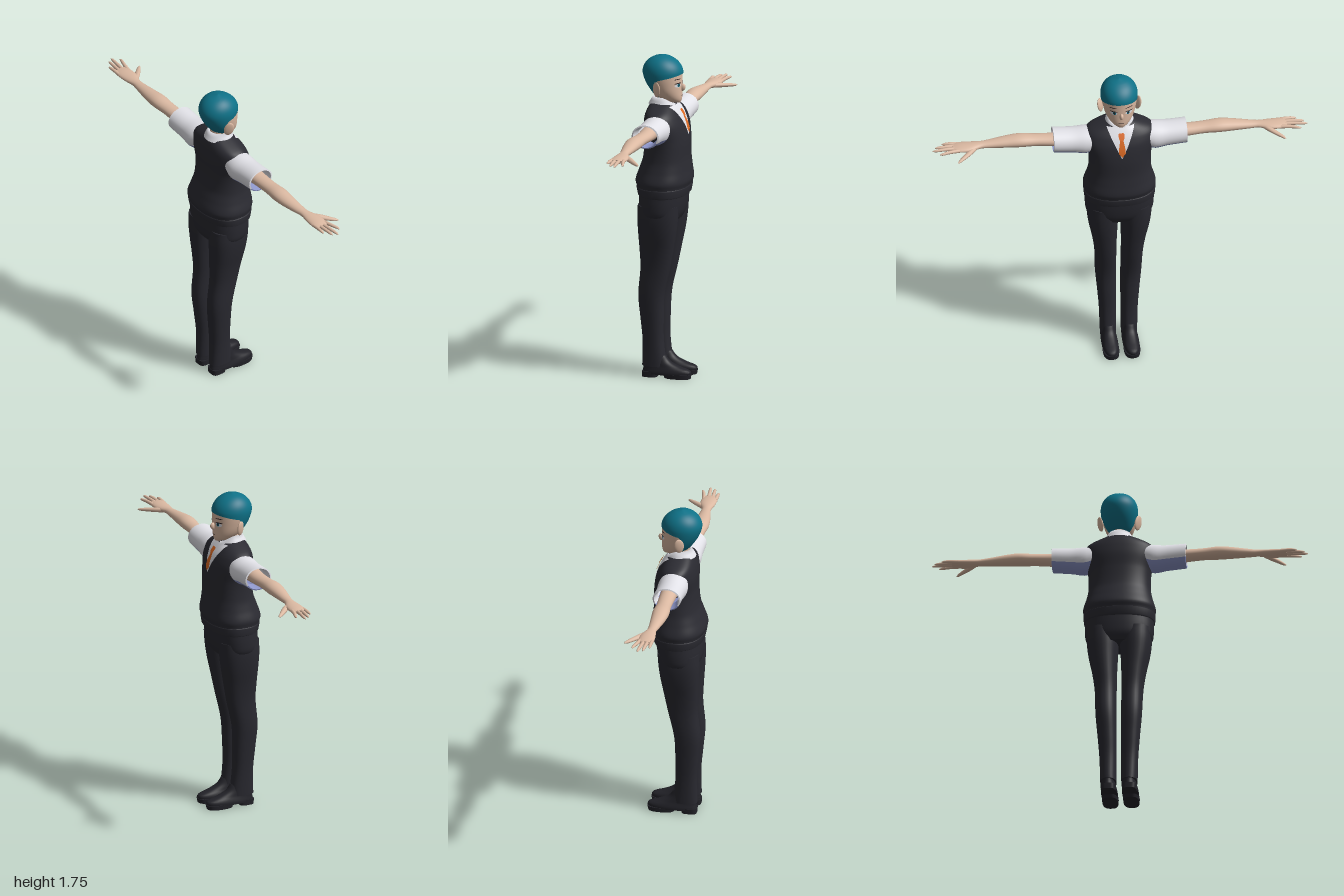
import * as THREE from 'three';

const mat = (name, color, side = THREE.FrontSide) => {
  const m = new THREE.MeshStandardMaterial({ color, side });
  m.name = name;
  return m;
};

// Smooth interpolation of a table of sections; column 0 is the key
function at(rows, k) {
  let i = 0;
  while (i < rows.length - 2 && k > rows[i + 1][0]) i++;
  const a = rows[i], b = rows[i + 1], p = rows[i - 1] || a, q = rows[i + 2] || b;
  const h = b[0] - a[0], t = Math.min(1, Math.max(0, (k - a[0]) / h)), t2 = t * t, t3 = t2 * t;
  return a.map((v, c) => {
    if (c === 0) return k;
    const m0 = (b[c] - p[c]) / (b[0] - p[0]) * h, m1 = (q[c] - v) / (q[0] - a[0]) * h;
    return (2 * t3 - 3 * t2 + 1) * v + (t3 - 2 * t2 + t) * m0 + (3 * t2 - 2 * t3) * b[c] + (t3 - t2) * m1;
  });
}
const keys = (rows, n) => Array.from({ length: n + 1 }, (_, i) =>
  rows[0][0] + (rows[rows.length - 1][0] - rows[0][0]) * i / n);

// Surface through rows of points; a repeated row makes a sharp edge
function grid(rows, closed) {
  const n = rows[0].length, idx = [], cols = closed ? n : n - 1;
  for (let i = 0; i < rows.length - 1; i++) {
    if (rows[i] === rows[i + 1]) continue;
    for (let j = 0; j < cols; j++) {
      const a = i * n + j, b = i * n + (j + 1) % n, c = a + n, d = b + n;
      idx.push(a, c, b, b, c, d);
    }
  }
  const g = new THREE.BufferGeometry();
  g.setAttribute('position', new THREE.Float32BufferAttribute(rows.flat(2), 3));
  g.setIndex(idx);
  g.computeVertexNormals();
  return g;
}
function loft(rings) {
  const mid = r => {
    const c = [0, 1, 2].map(k => r.reduce((s, p) => s + p[k], 0) / r.length);
    return r.map(() => c);
  };
  const first = rings[0], last = rings[rings.length - 1];
  return grid([mid(first), first, ...rings, last, mid(last)], true);
}

// Upright sections: [y, half width, z front, z back, centre x]
const pow = (v, e) => Math.sign(v) * Math.abs(v) ** e;
function bodyPoint(body, y, a, n = 2, grow = 0) {
  const [, w, zf, zb, cx = 0] = at(body, y);
  return [cx + pow(Math.cos(a), 2 / n) * (w + grow), y,
    (zf + zb) / 2 + pow(Math.sin(a), 2 / n) * ((zb - zf) / 2 + grow)];
}
const around = (n, f) => Array.from({ length: n }, (_, j) => f(j / n * Math.PI * 2));
const upright = (body, steps, n = 2, sides = 40) =>
  loft(keys(body, steps).map(y => around(sides, a => bodyPoint(body, y, a, n))));

// Sideways sections: [x, y, z, half height, half depth]
const sideRing = (rows, x, sides) => {
  const [, cy, cz, ry, rz] = at(rows, x);
  return around(sides, a => [x, cy + Math.cos(a) * ry, cz - Math.sin(a) * rz]);
};
const limb = (rows, steps, sides = 20) => loft(keys(rows, steps).map(x => sideRing(rows, x, sides)));

// Thin plate lying on the front of a body; rows are [y, x min, x max] going up
function decal(body, rows, off, n = 2) {
  return grid(rows.map(([y, x0, x1]) => Array.from({ length: 11 }, (_, j) => {
    const x = x0 + (x1 - x0) * j / 10, [, w, zf, zb] = at(body, y);
    const d = (1 - Math.min(1, Math.abs(x) / w) ** n) ** (1 / n);
    return [x, y, (zf + zb) / 2 - d * (zb - zf) / 2 - off];
  })), false);
}
const oval = (cx, cy, w, h, tilt = 0) => Array.from({ length: 9 }, (_, i) => {
  const t = -Math.PI / 2 + Math.PI * i / 8, r = Math.cos(t) * w + 0.0001;
  return [cy + Math.sin(t) * h, cx - r + tilt * Math.sin(t), cx + r + tilt * Math.sin(t)];
});

const HEAD = [
  [1.497, .018, -.078, -.03], [1.51, .042, -.085, .015], [1.53, .062, -.088, .052], [1.56, .078, -.088, .078],
  [1.6, .089, -.088, .104], [1.64, .095, -.088, .12], [1.67, .095, -.087, .123], [1.7, .086, -.073, .112],
  [1.725, .067, -.048, .09], [1.742, .04, -.016, .06], [1.749, .012, .01, .032]];
const VEST = [
  [1.0, .183, -.12, .134], [1.02, .188, -.126, .14], [1.05, .188, -.13, .145], [1.08, .193, -.139, .153],
  [1.14, .177, -.133, .134], [1.2, .166, -.127, .114], [1.3, .168, -.125, .105], [1.38, .187, -.113, .106],
  [1.43, .186, -.092, .1], [1.455, .166, -.076, .094], [1.475, .125, -.062, .087], [1.497, .07, -.045, .075]];
const HIPS = [[.865, .15, -.08, .115], [.9, .176, -.097, .13], [.95, .183, -.108, .134], [1.01, .183, -.115, .133]];
const LEG = [
  [.06, .043, -.02, .113, .056], [.2, .045, -.004, .11, .058], [.32, .05, -.004, .12, .062],
  [.45, .055, -.01, .13, .068], [.6, .058, -.043, .117, .071], [.7, .065, -.062, .12, .077],
  [.8, .077, -.08, .125, .085], [.88, .084, -.09, .128, .088], [.95, .084, -.095, .125, .088]];
const SHOE = [
  [.018, .043, -.15, .11, .056], [.03, .044, -.156, .111, .056], [.045, .041, -.147, .108, .056],
  [.06, .037, -.1, .106, .056], [.085, .035, -.045, .103, .056], [.12, .033, -.015, .1, .056]];
const SLEEVE = [
  [.13, 1.39, .005, .062, .07], [.18, 1.377, .005, .074, .08], [.25, 1.38, .005, .067, .075], [.355, 1.388, .005, .064, .075]];
const ARM = [
  [.28, 1.39, .005, .04, .045], [.36, 1.39, .005, .032, .042], [.45, 1.394, .008, .03, .04], [.53, 1.397, .01, .033, .045],
  [.6, 1.395, .01, .029, .04], [.7, 1.392, .005, .02, .028], [.74, 1.392, .002, .017, .025],
  [.8, 1.39, -.005, .018, .04], [.86, 1.39, -.004, .015, .042], [.89, 1.39, -.003, .01, .036]];

export function createModel() {
  const root = new THREE.Group();
  root.name = 'figure';
  const skin = mat('skin', 0xdbb9a2), hair = mat('hair teal', 0x0f7288);
  const shirt = mat('shirt white', 0xe4e4ea, THREE.DoubleSide), shade = mat('shirt blue', 0x8f98cc, THREE.DoubleSide);
  const vest = mat('vest', 0x2b2b32), trousers = mat('trousers', 0x292930), leather = mat('shoe leather', 0x232329);
  const orange = mat('tie orange', 0xdc6a24), ink = mat('face lines', 0x33292a);

  const add = (name, geo, m) => {
    const mesh = new THREE.Mesh(geo, m);
    mesh.name = name;
    root.add(mesh);
  };
  // Adds a part and its mirror image
  const pair = (name, geo, m) => {
    add(name, geo, m);
    const g = geo.clone().scale(-1, 1, 1), ix = g.index.array;
    for (let i = 0; i < ix.length; i += 3) [ix[i], ix[i + 1]] = [ix[i + 1], ix[i]];
    add(name + 'Mirrored', g, m);
  };

  // Head, neck and hair cap
  add('head', upright(HEAD, 40, 2, 48), skin);
  add('neck', new THREE.CylinderGeometry(.044, .05, .13, 28).translate(0, 1.495, .015), skin);
  const hairline = s => s < 0 ? 1.63 - .025 * s : 1.63 - .105 * THREE.MathUtils.smoothstep(s, 0, .65);
  const capRows = [];
  for (let i = 0; i <= 30; i++) {
    capRows.push(around(64, a => {
      const y0 = hairline(Math.sin(a));
      return bodyPoint(HEAD, y0 + (1.749 - y0) * i / 30, a, 2, .003);
    }));
  }
  capRows.push(around(64, () => [0, 1.752, .021]));
  add('hair', grid(capRows, true), hair);

  // Ears, nose and face
  pair('ear', new THREE.SphereGeometry(1, 20, 14).scale(.009, .043, .027)
    .rotateX(-.2).rotateZ(-.15).rotateY(-.55).translate(.1, 1.583, .022), skin);
  add('nose', new THREE.SphereGeometry(1, 16, 12).scale(.011, .02, .016).rotateX(-.3).translate(0, 1.58, -.092), skin);
  pair('eyeWhite', decal(HEAD, oval(.04, 1.598, .018, .011), .0015), shirt);
  pair('iris', decal(HEAD, oval(.037, 1.599, .008, .01), .0025), hair);
  pair('pupil', decal(HEAD, oval(.037, 1.599, .004, .006), .0033), ink);
  pair('upperLash', decal(HEAD, oval(.041, 1.61, .021, .003), .0035), ink);
  pair('eyebrow', decal(HEAD, oval(.042, 1.632, .02, .0025, .002), .002), ink);
  add('mouth', decal(HEAD, oval(0, 1.535, .018, .0018), .0015), ink);

  // Vest with shirt front and tie in the V neck
  add('vest', upright(VEST, 60, 2.3, 56), vest);
  add('vestHem', loft([1.002, 1.006, 1.044, 1.048].map((y, i) =>
    around(56, a => bodyPoint(VEST, y, a, 2.3, i % 3 ? .004 : 0)))), vest);
  add('shirtFront', decal(VEST, Array.from({ length: 15 }, (_, i) =>
    [1.325 + .0115 * i, -.002 - .0052 * i, .002 + .0052 * i]), .003, 2.3), shirt);
  add('tieBlade', decal(VEST, [[1.335, -.001, .001], [1.358, -.019, .019], [1.39, -.016, .016], [1.432, -.008, .008]], .008, 2.3), orange);
  add('tieKnot', decal(VEST, [[1.428, -.009, .009], [1.44, -.015, .015], [1.458, -.016, .016], [1.463, -.012, .012]], .012, 2.3), orange);

  // Folded collar, open at the front
  const collarRow = (rx, rz, y, drop, gap) => Array.from({ length: 41 }, (_, j) => {
    const a = -Math.PI / 2 + gap + (Math.PI * 2 - gap * 2) * j / 40, f = Math.max(0, -Math.sin(a));
    return [Math.cos(a) * rx, y - drop * f ** 1.5, .006 + Math.sin(a) * rz];
  });
  add('collar', grid([collarRow(.08, .088, 1.485, .05, .45), collarRow(.07, .075, 1.508, .04, .3),
    collarRow(.058, .06, 1.528, .035, .15), collarRow(.05, .052, 1.5, .03, .15)], false), shirt);

  // Short sleeves with a blue underside and a hollow cuff
  const sleeveRings = keys(SLEEVE, 12).map(x => sideRing(SLEEVE, x, 36));
  const inner = (x, s) => around(36, a => [x, 1.388 + Math.cos(a) * .064 * s, .005 - Math.sin(a) * .075 * s]);
  const rim = inner(.357, .9);
  sleeveRings.push(sleeveRings[12], rim, rim, inner(.3, .75));
  const slice = (from, to) => sleeveRings.map(r => {
    r.cache ??= {};
    return r.cache[from] ??= Array.from({ length: to - from + 1 }, (_, j) => r[(from + j) % 36]);
  });
  pair('sleeveTop', grid(slice(24, 48), false), shirt);
  pair('sleeveUnderside', grid(slice(12, 24), false), shade);

  // Arms, fingers and thumbs
  pair('arm', limb(ARM, 36, 24), skin);
  const fingers = [[-.034, .965, -.058], [-.013, 1, -.024], [.008, .985, .002], [.027, .945, .03]];
  fingers.forEach(([z, tx, tz], i) => pair('finger' + (i + 1), limb([
    [.855, 1.39, z, .01, .011], [(.86 + tx) / 2, 1.393, (z + tz) / 2, .009, .0095],
    [tx - .012, 1.392, tz, .006, .007], [tx, 1.391, tz, .002, .002]], 10, 10), skin));
  pair('thumb', limb([[.765, 1.388, -.012, .013, .018], [.8, 1.384, -.045, .013, .022],
    [.84, 1.378, -.083, .01, .017], [.866, 1.374, -.108, .007, .011], [.876, 1.373, -.117, .002, .003]], 12, 12), skin);

  // Trousers
  add('trouserHips', upright(HIPS, 12, 2.3, 48), trousers);
  pair('trouserLeg', upright(LEG, 40, 2.3, 32), trousers);

  // Shoes with separate front sole and heel
  pair('shoe', upright(SHOE, 16, 2.4, 36), leather);
  pair('shoeSole', upright([[0, .042, -.152, -.01, .056], [.024, .044, -.157, .0, .056]], 2, 2.6, 32), leather);
  pair('shoeHeel', upright([[0, .037, .03, .111, .056], [.03, .039, .025, .112, .056]], 2, 3.5, 32), leather);
  return root;
}
